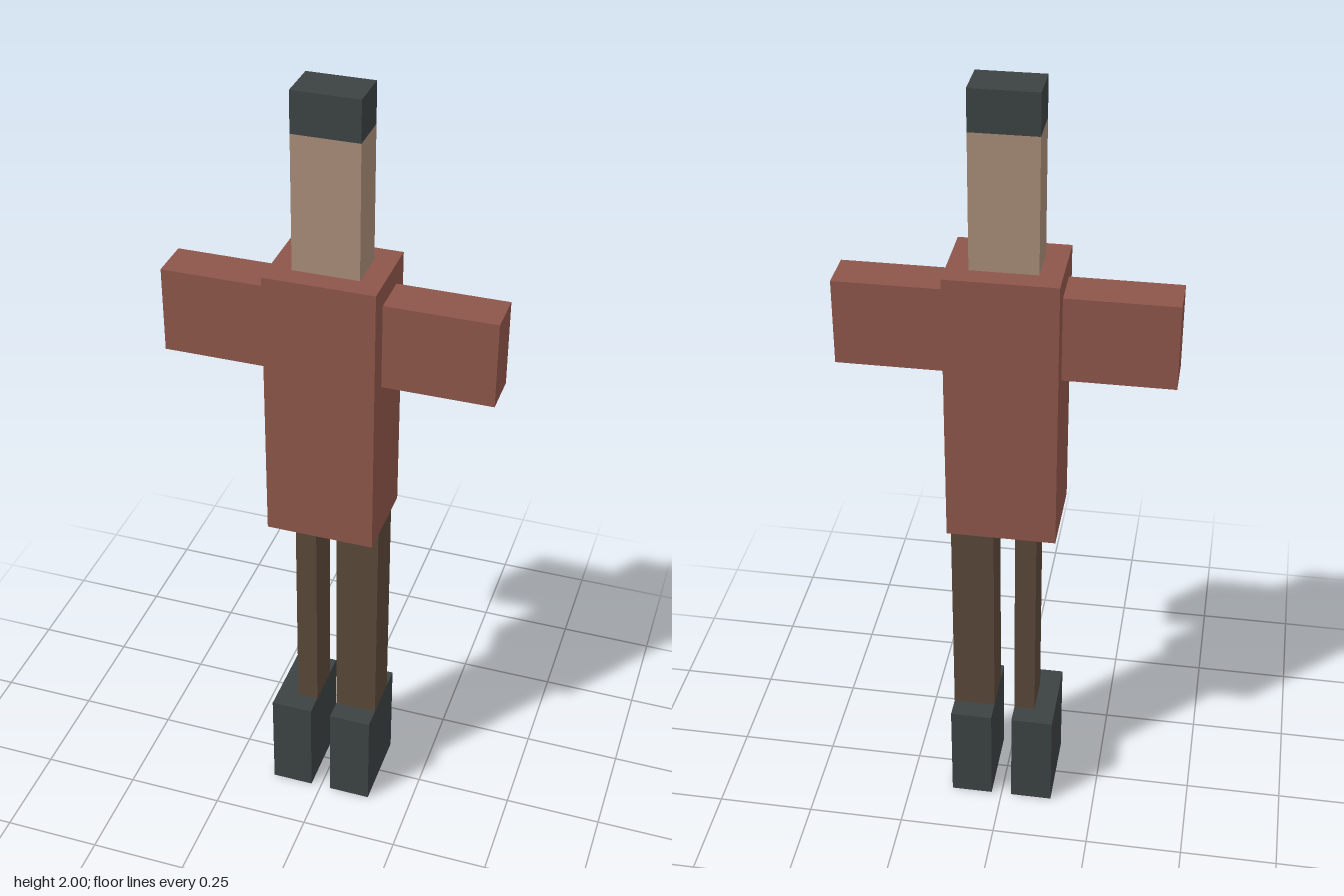
import * as THREE from 'three';

const paint = (name, color) => {
  const m = new THREE.MeshStandardMaterial({ color });
  m.name = name;
  return m;
};

export function createModel() {
  const shirt = paint('shirt red', 0x8d564a);
  const skin = paint('skin tan', 0xa88c77);
  const trousers = paint('trouser brown', 0x5a4739);
  const dark = paint('dark slate', 0x3c4242);

  const model = new THREE.Group();
  model.name = 'figure';

  // Box spanning x0..x1, y0..y1 and -z..z
  const block = (name, material, x0, x1, y0, y1, z) => {
    const mesh = new THREE.Mesh(new THREE.BoxGeometry(x1 - x0, y1 - y0, 2 * z), material);
    mesh.position.set((x0 + x1) / 2, (y0 + y1) / 2, 0);
    mesh.name = name;
    model.add(mesh);
  };

  const u = 2 / 37; // block unit

  // Head and hair
  block('head', skin, -1.5 * u, 1.5 * u, 29 * u, 1.9, u);
  block('hair', dark, -1.5 * u, 1.5 * u, 1.9, 2, u);

  // Torso and outstretched arms
  block('torso', shirt, -2.5 * u, 2.5 * u, 16 * u, 29 * u, 2 * u);
  block('leftArm', shirt, 2.5 * u, 7.5 * u, 24 * u, 28 * u, u);
  block('rightArm', shirt, -7.5 * u, -2.5 * u, 24 * u, 28 * u, u);

  // Legs: the right one is narrower
  block('leftLeg', trousers, 0.5 * u, 2.5 * u, 5 * u, 16 * u, u);
  block('rightLeg', trousers, -1.5 * u, -0.5 * u, 5 * u, 16 * u, u);

  // Boots
  block('leftBoot', dark, 0.5 * u, 2.5 * u, 0, 5 * u, 2 * u);
  block('rightBoot', dark, -2.5 * u, -0.5 * u, 0, 5 * u, 2 * u);

  return model;
}
